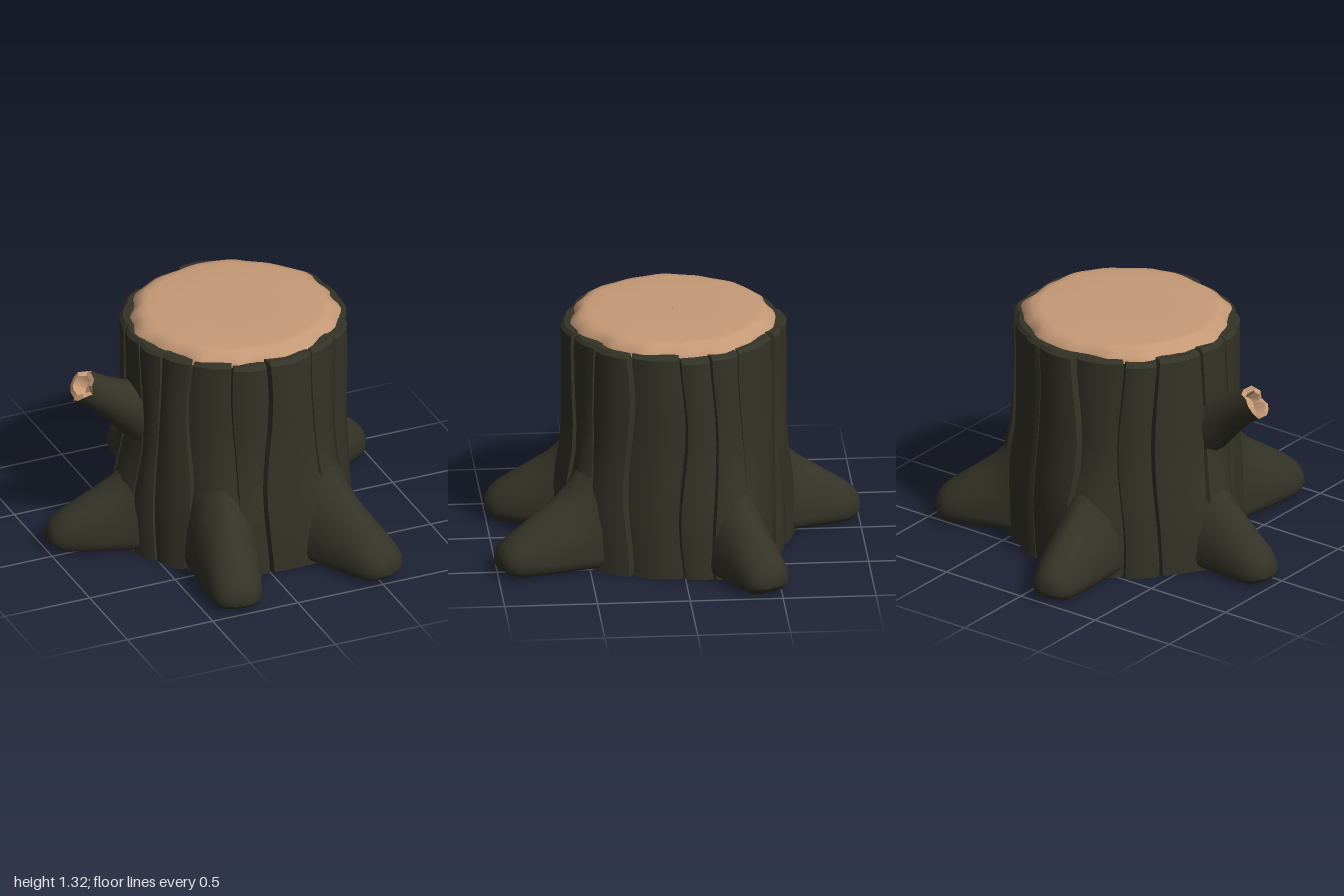
import * as THREE from 'three';
import { mergeGeometries, toCreasedNormals } from 'three/addons/utils/BufferGeometryUtils.js';

const CX = 0.06, CZ = 0.02;

function seeded(seed) {
  return () => {
    seed = (seed * 16807) % 2147483647;
    return seed / 2147483647;
  };
}

// Skin over rows of points; closed rows wrap around, capEnd fans the last row shut
function loft(rows, closed = false, capEnd = false, crease = 0.7) {
  const n = rows[0].length, pos = [], idx = [];
  rows.forEach(r => r.forEach(p => pos.push(p.x, p.y, p.z)));
  for (let i = 0; i < rows.length - 1; i++) {
    for (let j = 0; j < (closed ? n : n - 1); j++) {
      const k = (j + 1) % n, a = i * n + j, b = i * n + k;
      idx.push(a, b, b + n, a, b + n, a + n);
    }
  }
  if (capEnd) {
    const last = rows[rows.length - 1], o = (rows.length - 1) * n;
    const c = last.reduce((s, p) => s.add(p), new THREE.Vector3()).divideScalar(n);
    pos.push(c.x, c.y, c.z);
    for (let j = 0; j < n; j++) idx.push(o + j, o + (j + 1) % n, rows.length * n);
  }
  const g = new THREE.BufferGeometry();
  g.setAttribute('position', new THREE.Float32BufferAttribute(pos, 3));
  g.setIndex(idx);
  return toCreasedNormals(g, crease);
}

// Point on the slightly oval trunk
const polar = (a, r, y) => new THREE.Vector3(CX + Math.sin(a) * r * 1.02, y, CZ + Math.cos(a) * r * 0.99);

// Roots: base and tip on the ground, half widths at both ends
const ROOTS = [
  { base: [-0.07, -0.4], tip: [-0.17, -1.0], wb: 0.22, wt: 0.11 },
  { base: [0.48, -0.23], tip: [0.98, -0.45], wb: 0.19, wt: 0.13 },
  { base: [-0.38, 0.03], tip: [-0.99, -0.1], wb: 0.21, wt: 0.11 },
  { base: [-0.2, 0.42], tip: [-0.34, 1.0], wb: 0.21, wt: 0.13 },
  { base: [0.33, 0.42], tip: [0.56, 1.0], wb: 0.22, wt: 0.13 },
];
const rootAngles = ROOTS.map(r => Math.atan2((r.base[0] + r.tip[0]) / 2 - CX, (r.base[1] + r.tip[1]) / 2 - CZ));

// Trunk swelling where it runs into the roots
function flare(a, y) {
  const low = 1 - THREE.MathUtils.smoothstep(y, 0.2, 0.75);
  let f = 0.02 * low;
  for (const ra of rootAngles) {
    const d = Math.atan2(Math.sin(a - ra), Math.cos(a - ra));
    f += 0.07 * low * Math.exp(-((d / 0.24) ** 2));
  }
  return f;
}

// Bark: overlapping upright plates with wandering edges and a rolled-in rim
function barkGeometry() {
  const rnd = seeded(71), count = 17, parts = [];
  const edges = Array.from({ length: count }, (_, i) => ({
    a: (i + (rnd() - 0.5) * 0.6) / count * Math.PI * 2, p: rnd() * 6, q: 3 + rnd() * 4,
  }));
  const edgeAt = (i, y) => {
    const e = edges[i % count];
    return e.a + (i >= count ? Math.PI * 2 : 0) + 0.035 * Math.sin(e.p + e.q * y);
  };
  const ys = [0.012, 0.1, 0.2, 0.3, 0.4, 0.5, 0.62, 0.76, 0.9, 1.05, 1.18];
  const cols = [0, 0.07, 0.2, 0.4, 0.6, 0.8, 0.93, 1];
  for (let i = 0; i < count; i++) {
    const off = (rnd() - 0.5) * 0.028, top = 1.275 + (rnd() - 0.5) * 0.02, inner = 0.055 + rnd() * 0.03;
    const profile = [...ys.map(y => [y, 0]), [top - 0.02, 0], [top, -0.018], [top, -inner], [1.24, -inner - 0.03]];
    parts.push(loft(profile.map(([y, inset]) => cols.map(s => {
      const a = THREE.MathUtils.lerp(edgeAt(i, y) - 0.012, edgeAt(i + 1, y) + 0.012, s);
      const drop = s === 0 || s === 1 ? -0.05 : 0;
      return polar(a, 0.588 + off + 0.016 * Math.sin(Math.PI * s) + drop + inset + flare(a, y), y);
    }))));
  }
  return mergeGeometries(parts);
}

// Root: rounded sections that shrink from the trunk to a blunt tip
function rootGeometry({ base, tip, wb, wt }) {
  const b = new THREE.Vector3(base[0], 0, base[1]), t = new THREE.Vector3(tip[0], 0, tip[1]);
  const dir = t.clone().sub(b).normalize();
  const side = new THREE.Vector3(0, 1, 0).cross(dir);
  // along, top height, width factor
  const stations = [[0, 0.82, 1], [0.16, 0.64, 1], [0.28, 0.5, 1], [0.42, 0.41, 1], [0.58, 0.345, 1],
    [0.74, 0.28, 1], [0.87, 0.225, 0.95], [0.95, 0.185, 0.78], [0.99, 0.145, 0.5], [1, 0.115, 0.25]];
  const rows = stations.map(([s, h, f]) => {
    const w = THREE.MathUtils.lerp(wb, wt, s) * f, mid = 0.09;
    const low = s > 0.9 ? 0.012 + (s - 0.9) * 0.5 : 0.012;
    return Array.from({ length: 20 }, (_, j) => {
      const a = j / 20 * Math.PI * 2, c = Math.cos(a), n = Math.sin(a);
      const pow = n > 0 ? 1 + (h - 0.1) * 0.7 : 0.6;
      const y = n > 0 ? mid + (h - mid) * n : mid - (mid - low) * Math.pow(-n, 0.7);
      return b.clone().lerp(t, s).addScaledVector(side, w * Math.sign(c) * Math.pow(Math.abs(c), pow)).setY(y);
    });
  });
  return loft(rows, true, true, 0.9);
}

// Ring of points around the broken branch
const BDIR = new THREE.Vector3(-0.85, 0.53, 0).normalize();
const BUP = new THREE.Vector3(0.53, 0.85, 0).normalize();
const BSIDE = BUP.clone().cross(BDIR);
function branchRing(x, y, z, ru, rs, jag = 0) {
  const rnd = seeded(19);
  return Array.from({ length: 14 }, (_, j) => {
    const a = j / 14 * Math.PI * 2;
    return new THREE.Vector3(x, y, z).addScaledVector(BSIDE, Math.cos(a) * rs)
      .addScaledVector(BUP, Math.sin(a) * ru).addScaledVector(BDIR, (rnd() - 0.5) * jag);
  });
}

export function createModel() {
  const bark = new THREE.MeshStandardMaterial({ color: 0x333327 });
  bark.name = 'darkBark';
  const wood = new THREE.MeshStandardMaterial({ color: 0xc69a77 });
  wood.name = 'cutWood';
  const group = new THREE.Group();
  group.name = 'treeStump';
  const add = (name, geometry, material) => {
    const m = new THREE.Mesh(geometry, material);
    m.name = name;
    group.add(m);
    return m;
  };

  // Trunk
  add('barkPlates', barkGeometry(), bark);
  const core = add('trunkCore', new THREE.CylinderGeometry(0.545, 0.59, 1.23, 40), bark);
  core.position.set(CX, 0.63, CZ);
  ROOTS.forEach((r, i) => add('root' + (i + 1), rootGeometry(r), bark));

  // Cut face with an uneven edge
  const rnd = seeded(5), N = 72;
  const wobble = Array.from({ length: N }, (_, j) =>
    0.012 * Math.sin(j * 0.61) + 0.008 * Math.sin(j * 1.4 + 1) + (rnd() - 0.5) * 0.008);
  const face = [[0.56, 1.255, 1], [0.548, 1.29, 1], [0.5, 1.326, 0.5], [0.46, 1.331, 0], [0.25, 1.331, 0], [0.001, 1.331, 0]];
  add('cutFace', loft(face.map(([r, y, k]) => wobble.map((w, j) =>
    polar(j / N * Math.PI * 2, r + w * k, y))), true, false, 0.9), wood);

  // Broken branch with a hollow, splintered end
  const end = [-0.82, 1.02, 0];
  add('branch', loft([
    branchRing(-0.4, 0.76, 0.03, 0.2, 0.16),
    branchRing(-0.56, 0.86, 0.03, 0.145, 0.125),
    branchRing(-0.66, 0.92, 0.015, 0.112, 0.1),
    branchRing(-0.75, 0.976, 0.005, 0.095, 0.088),
    branchRing(...end, 0.092, 0.085, 0.05),
  ], true, false, 0.9), bark);
  add('branchBreak', loft([
    branchRing(...end, 0.092, 0.085, 0.05),
    branchRing(-0.823, 1.022, 0, 0.062, 0.056, 0.05),
    branchRing(-0.775, 0.992, 0, 0.045, 0.04),
  ], true, true, 0.4), wood);

  return group;
}
